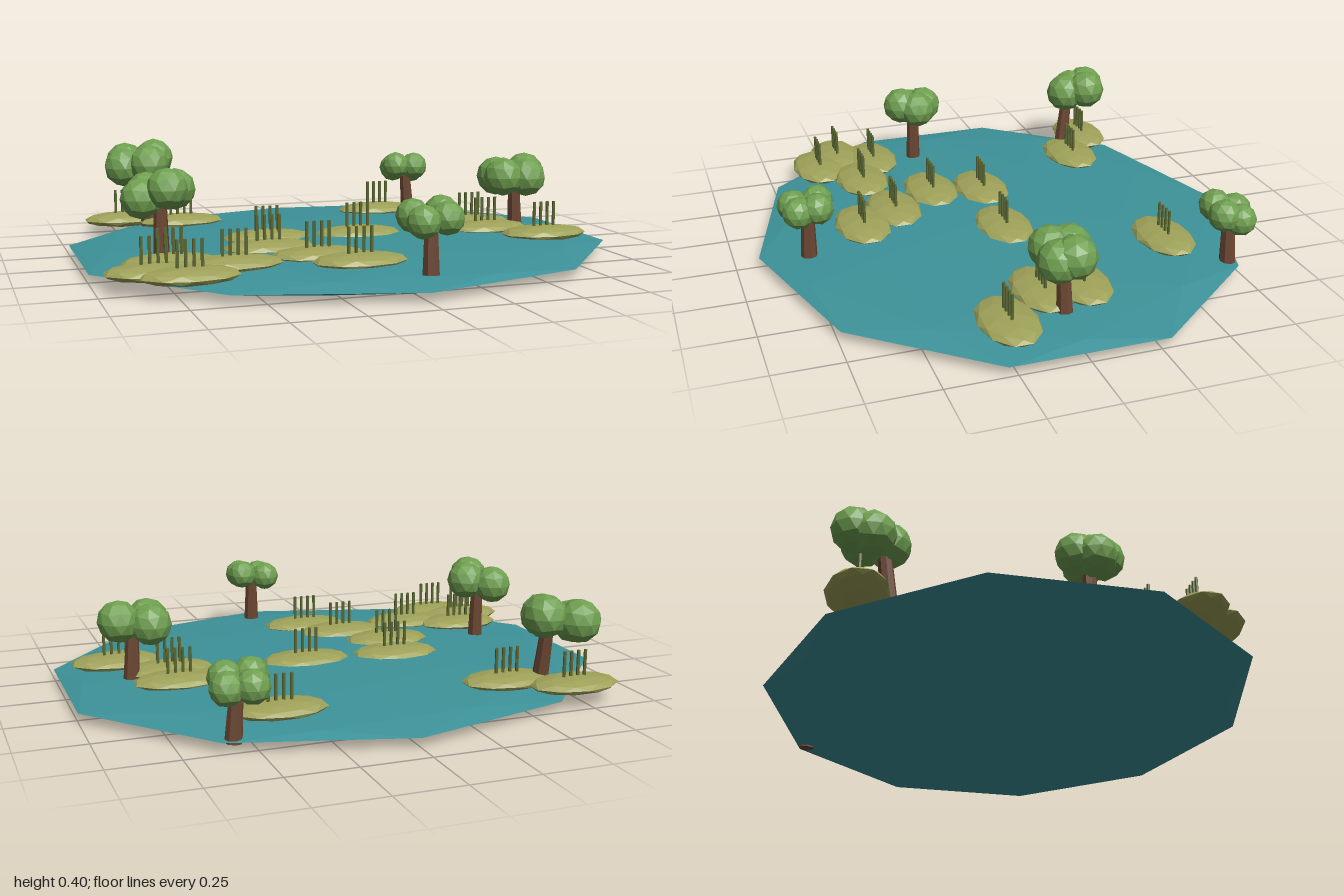
import * as THREE from 'three';

const material = (name, color) => {
  const m = new THREE.MeshStandardMaterial({ color, flatShading: true });
  m.name = name;
  return m;
};

export function createModel() {
  const model = new THREE.Group();
  model.name = 'pondWithIslets';

  const water = material('water teal', 0x3d939a);
  const moss = material('islet olive', 0x9fa259);
  const leaf = material('leaf green', 0x6f9f50);
  const bark = material('bark brown', 0x6b4632);
  const reed = material('reed green', 0x5c6a35);

  // Low-poly ball with a corner straight up and a ten-sided equator
  const ball = new THREE.IcosahedronGeometry(1, 1);
  ball.rotateZ(-Math.atan(2 / (1 + Math.sqrt(5))));
  ball.computeVertexNormals();
  const reedGeometry = new THREE.CylinderGeometry(0.006, 0.006, 0.12, 6);

  const add = (parent, name, geometry, mat, position, scale = [1, 1, 1]) => {
    const mesh = new THREE.Mesh(geometry, mat);
    mesh.name = name;
    mesh.position.set(...position);
    mesh.scale.set(...scale);
    parent.add(mesh);
    return mesh;
  };

  // Pond
  add(model, 'pond', ball, water, [0, 0.036, 0], [1.052, 0.036, 0.915]);

  // Islets, each with a row of four reeds: [x, z]
  const islets = [
    [-0.28, -0.04], [0.08, -0.015], [-0.33, 0.16], [-0.2, 0.35], [-0.095, 0.5],
    [-0.52, 0.405], [-0.727, 0.315], [-0.807, 0.455], [-0.706, 0.55], [0.775, 0.21],
    [0.604, -0.117], [0.608, 0.03], [0.364, -0.555], [-0.513, -0.525], [-0.72, -0.65],
  ];
  for (const [x, z] of islets) {
    const islet = new THREE.Group();
    islet.name = 'islet';
    islet.position.set(x, 0, z);
    add(islet, 'mound', ball, moss, [0, 0.068, 0], [0.174, 0.03, 0.107]);
    for (let i = 0; i < 4; i++) {
      add(islet, 'reed', reedGeometry, reed, [(i - 1.5) * 0.028, 0.13, 0]);
    }
    model.add(islet);
  }

  // Trees: trunk foot and top, crown ball radius and centres
  const trees = [
    { foot: [-0.72, 0.03, 0.13], top: [-0.72, 0.26, 0.125], r: 0.075,
      crown: [[-0.76, 0.28, 0.07], [-0.79, 0.267, 0.13], [-0.665, 0.295, 0.12], [-0.705, 0.305, 0.18]] },
    { foot: [-0.645, 0.05, -0.535], top: [-0.655, 0.29, -0.565], r: 0.08,
      crown: [[-0.715, 0.305, -0.67], [-0.602, 0.322, -0.63], [-0.73, 0.29, -0.61], [-0.637, 0.305, -0.548]] },
    { foot: [0.575, 0.025, -0.715], top: [0.56, 0.22, -0.715], r: 0.06,
      crown: [[0.52, 0.22, -0.76], [0.6, 0.215, -0.74], [0.505, 0.24, -0.685], [0.59, 0.235, -0.68]] },
    { foot: [0.757, 0.04, 0], top: [0.745, 0.25, 0.005], r: 0.078,
      crown: [[0.687, 0.265, -0.04], [0.8, 0.28, -0.015], [0.685, 0.27, 0.03], [0.785, 0.265, 0.035]] },
    { foot: [0.07, 0.055, 0.74], top: [0.07, 0.24, 0.735], r: 0.059,
      crown: [[0.022, 0.25, 0.69], [0.118, 0.26, 0.705], [0.025, 0.242, 0.78], [0.112, 0.25, 0.775]] },
  ];
  const up = new THREE.Vector3(0, 1, 0);
  for (const { foot, top, r, crown } of trees) {
    const tree = new THREE.Group();
    tree.name = 'tree';
    const a = new THREE.Vector3(...foot);
    const b = new THREE.Vector3(...top);
    const axis = b.clone().sub(a);
    const trunk = add(tree, 'trunk', new THREE.CylinderGeometry(0.023, 0.031, axis.length(), 8),
      bark, a.clone().add(b).multiplyScalar(0.5).toArray());
    trunk.quaternion.setFromUnitVectors(up, axis.normalize());
    crown.forEach((c, i) => {
      const clump = add(tree, 'leafClump', ball, leaf, c, [r, r, r]);
      clump.rotation.y = i * 0.9;
    });
    model.add(tree);
  }
  return model;
}
